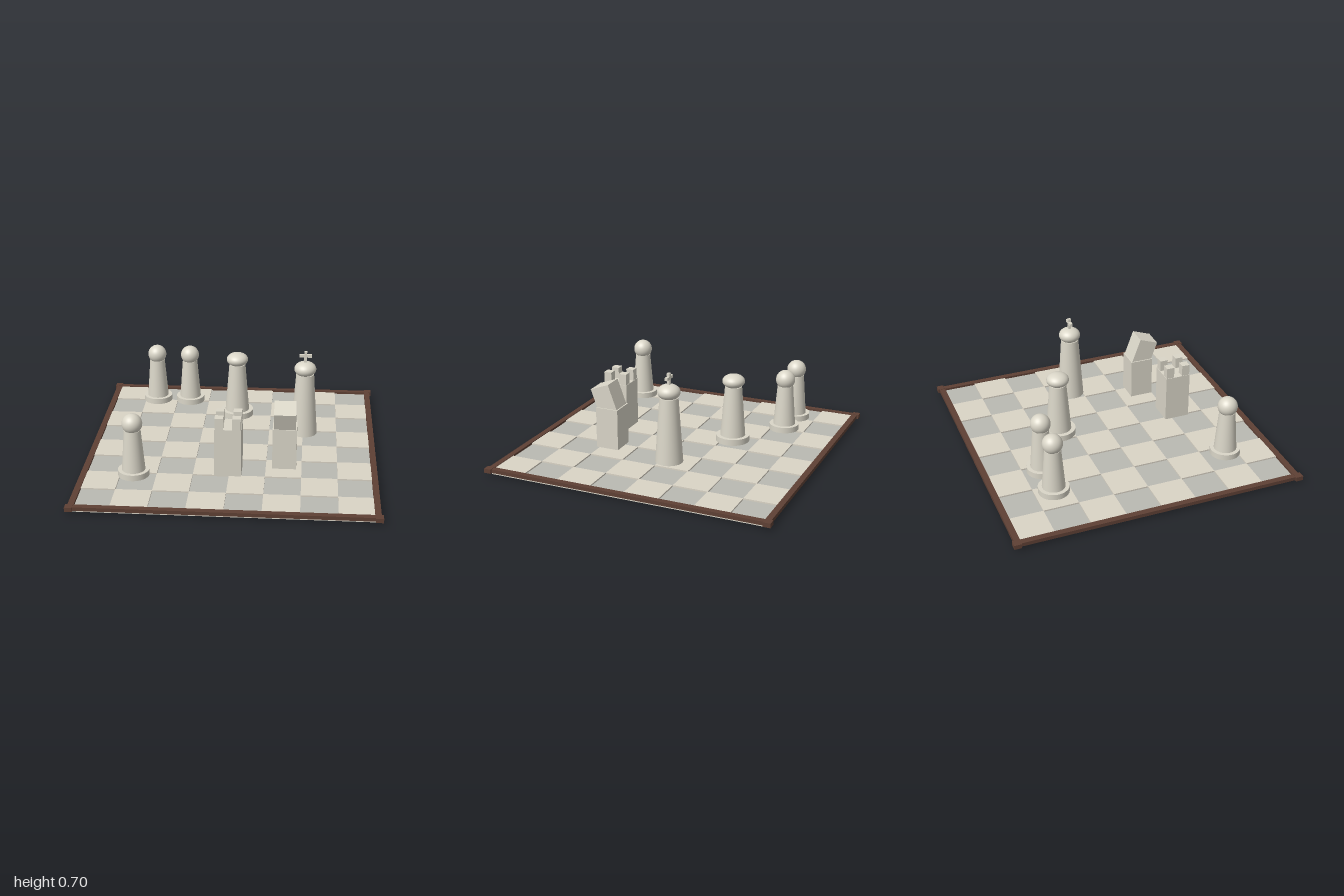
import * as THREE from 'three';

const material = (color) => new THREE.MeshStandardMaterial({ color });

export function createModel() {
  const model = new THREE.Group();
  const ivory = material(0xdad6c8);
  const lightStone = material(0xdad4c6);
  const darkStone = material(0xbabab2);
  const wood = material(0x5e4034);

  const add = (parent, name, geometry, mat, x, y, z) => {
    const mesh = new THREE.Mesh(geometry, mat);
    mesh.name = name;
    mesh.position.set(x, y, z);
    parent.add(mesh);
    return mesh;
  };
  const box = (parent, name, mat, w, h, d, x, y, z) =>
    add(parent, name, new THREE.BoxGeometry(w, h, d), mat, x, y, z);
  // Cylinder given by its bottom and top heights
  const column = (parent, name, rTop, rBottom, y0, y1, sides = 40) =>
    add(parent, name, new THREE.CylinderGeometry(rTop, rBottom, y1 - y0, sides), ivory, 0, (y0 + y1) / 2, 0);
  const ball = (parent, name, r, ry, y) => {
    const mesh = add(parent, name, new THREE.SphereGeometry(r, 32, 20), ivory, 0, y, 0);
    mesh.scale.y = ry / r;
    return mesh;
  };
  const piece = (name, x, z) => {
    const group = new THREE.Group();
    group.name = name;
    group.position.set(x, 0, z);
    model.add(group);
    return group;
  };

  // Board slab and checkered tiles, the light ones standing higher
  const board = piece('board', 0, 0);
  const pitch = 0.2406;
  box(board, 'slab', lightStone, 1.926, 0.02, 1.926, 0, 0.01, 0);
  for (let row = 0; row < 8; row++) {
    for (let col = 0; col < 8; col++) {
      const light = (row + col) % 2 === 0;
      const h = light ? 0.02 : 0.01;
      box(board, light ? 'lightTile' : 'darkTile', light ? lightStone : darkStone,
        pitch, h, pitch, (col - 3.5) * pitch, 0.02 + h / 2, (row - 3.5) * pitch);
    }
  }

  // Wooden frame with corner blocks
  for (const s of [-1, 1]) {
    box(board, 'frameSide', wood, 0.04, 0.025, 1.92, s * 0.968, 0.0325, 0);
    box(board, 'frameEnd', wood, 1.92, 0.025, 0.04, 0, 0.0325, s * 0.968);
    for (const t of [-1, 1]) {
      box(board, 'frameCorner', wood, 0.05, 0.03, 0.05, s * 0.975, 0.0325, t * 0.975);
    }
  }

  // Pawns
  for (const [x, z] of [[-0.614, -0.614], [-0.37, -0.614], [-0.614, 0.608]]) {
    const pawn = piece('pawn', x, z);
    column(pawn, 'pawnBase', 0.103, 0.103, 0.095, 0.135);
    column(pawn, 'pawnBody', 0.054, 0.08, 0.095, 0.417);
    ball(pawn, 'pawnHead', 0.067, 0.067, 0.46);
  }

  // Queen
  const queen = piece('queen', 0, -0.368);
  column(queen, 'queenBase', 0.115, 0.115, 0.105, 0.147);
  column(queen, 'queenBody', 0.058, 0.09, 0.095, 0.495);
  ball(queen, 'queenHead', 0.077, 0.048, 0.532);

  // King with cross
  const king = piece('king', 0.488, -0.11);
  column(king, 'kingBody', 0.062, 0.093, 0.095, 0.54);
  ball(king, 'kingHead', 0.076, 0.053, 0.577);
  box(king, 'crossUpright', ivory, 0.02, 0.085, 0.02, 0, 0.6625, 0);
  box(king, 'crossArm', ivory, 0.088, 0.02, 0.02, 0, 0.674, 0);

  // Rook with four corner battlements
  const rook = piece('rook', 0, 0.488);
  box(rook, 'rookBody', ivory, 0.176, 0.332, 0.176, 0, 0.251, 0);
  for (const sx of [-1, 1]) {
    for (const sz of [-1, 1]) {
      box(rook, 'battlement', ivory, 0.055, 0.08, 0.055, sx * 0.0575, 0.455, sz * 0.0575);
    }
  }

  // Knight with a head leaning forward
  const knight = piece('knight', 0.366, 0.37);
  box(knight, 'knightBody', ivory, 0.16, 0.285, 0.16, 0, 0.2275, 0);
  const head = box(knight, 'knightHead', ivory, 0.144, 0.2, 0.138, 0, 0.422, 0.021);
  head.rotation.x = 0.35;

  return model;
}
